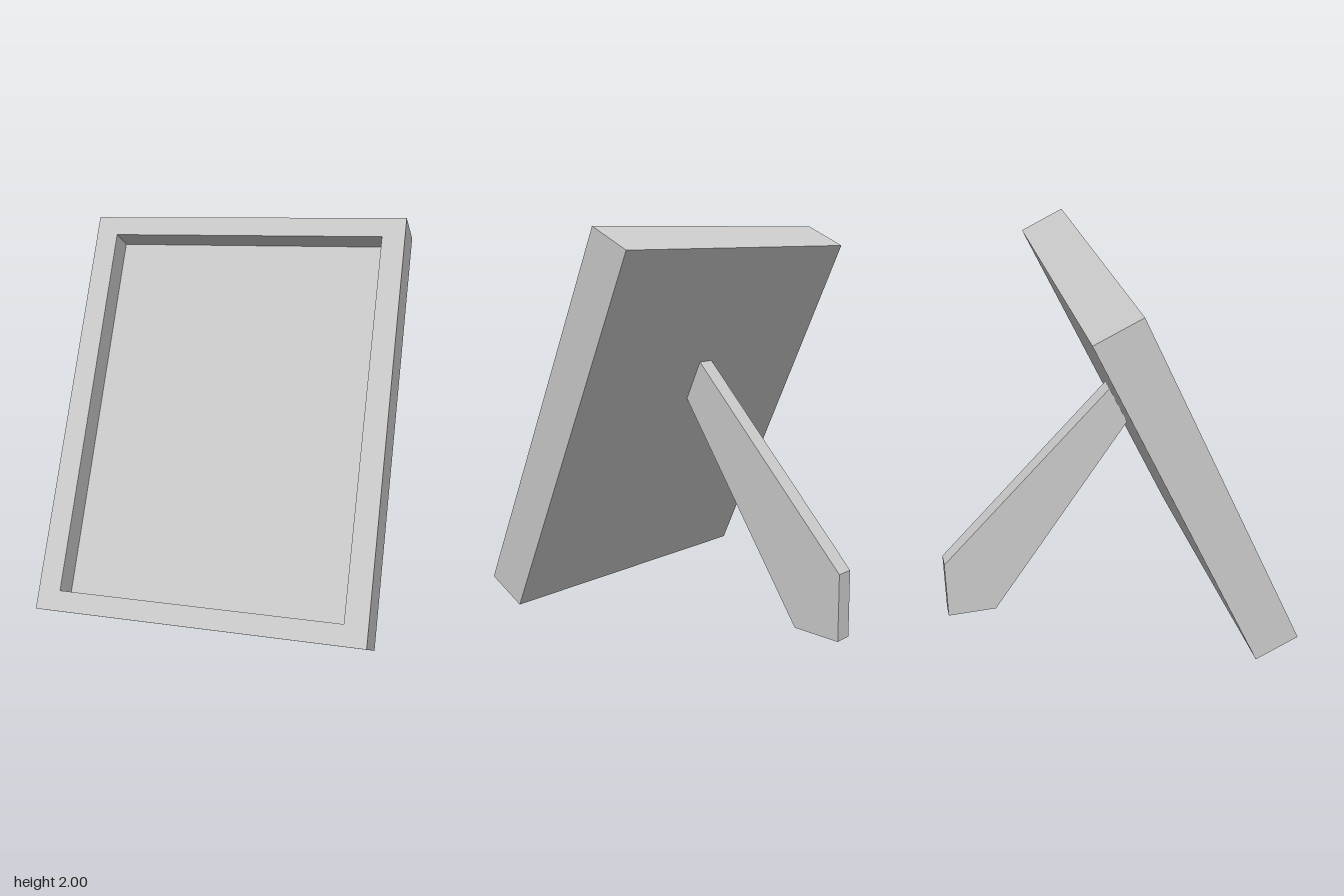
import * as THREE from 'three';

const WIDTH = 1.635, HEIGHT = 2.07, DEPTH = 0.248; // outer frame
const SIDE = 0.113, END = 0.099, RECESS = 0.13;    // border widths and recess depth
const TILT = THREE.MathUtils.degToRad(25);

// Rectangle loop, counter-clockwise seen from the front
function loop(insetX, insetY, z) {
  const x = WIDTH / 2 - insetX, y0 = insetY, y1 = HEIGHT - insetY;
  return [[-x, y0, z], [x, y0, z], [x, y1, z], [-x, y1, z]];
}

// Skin successive loops into a closed, flat-faced solid
function skinLoops(loops) {
  const pos = [];
  const quad = (a, b, c, d) => pos.push(...a, ...b, ...c, ...a, ...c, ...d);
  for (let k = 0; k < loops.length - 1; k++) {
    const a = loops[k], b = loops[k + 1];
    for (let i = 0; i < 4; i++) {
      const j = (i + 1) % 4;
      quad(a[i], a[j], b[j], b[i]);
    }
  }
  quad(...[...loops[0]].reverse());
  quad(...loops[loops.length - 1]);
  const geometry = new THREE.BufferGeometry();
  geometry.setAttribute('position', new THREE.Float32BufferAttribute(pos, 3));
  geometry.computeVertexNormals();
  return geometry;
}

export function createModel() {
  const group = new THREE.Group();
  group.name = 'pictureFrame';
  const material = new THREE.MeshStandardMaterial({ color: 0xcccccc, flatShading: true });

  // Leaning frame: back, outer sides, front border, recess walls and picture panel
  const frame = new THREE.Mesh(skinLoops([
    loop(0, 0, 0),
    loop(0, 0, DEPTH),
    loop(SIDE, END, DEPTH),
    loop(SIDE, END, DEPTH - RECESS),
  ]), material);
  frame.name = 'frame';
  frame.rotation.x = -TILT;
  frame.position.set(0, 0.019, 0.645);
  group.add(frame);

  // Easel leg: side profile as (z, y), extruded across the width
  const legWidth = 0.09;
  const profile = [[0.05, 1.3], [0.146, 1.095], [-0.605, 0], [-0.87, 0], [-0.87, 0.345]];
  const shape = new THREE.Shape(profile.map(([z, y]) => new THREE.Vector2(z, y)));
  const legGeometry = new THREE.ExtrudeGeometry(shape, { depth: legWidth, bevelEnabled: false });
  legGeometry.translate(0, 0, -legWidth / 2).rotateY(-Math.PI / 2);
  const leg = new THREE.Mesh(legGeometry, material);
  leg.name = 'easelLeg';
  group.add(leg);

  return group;
}
